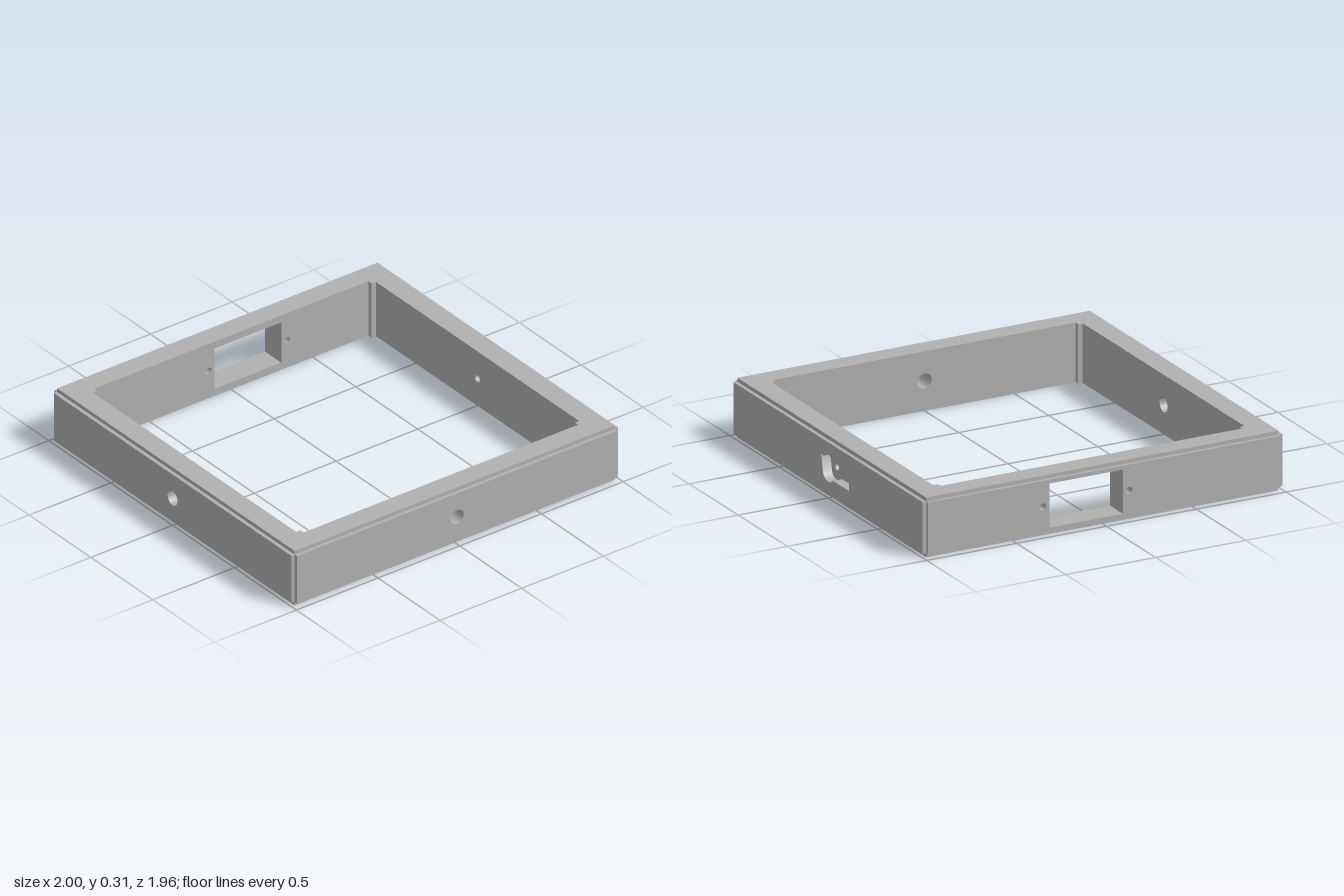
import * as THREE from 'three';
import { toCreasedNormals } from 'three/addons/utils/BufferGeometryUtils.js';

const HEIGHT = 0.31, MID = 0.155, STEP = 0.02;
const OUT_X = 1, OUT_Z = 0.98;        // outer half sizes
const IN_X = 0.865, IN_Z = 0.847;     // opening half sizes

const circle = (u, r) => new THREE.Path().absarc(u, MID, r, 0, Math.PI * 2, true);

function rectangle(path, u0, u1, y0, y1) {
  path.moveTo(u0, y0);
  path.lineTo(u1, y0);
  path.lineTo(u1, y1);
  path.lineTo(u0, y1);
  path.closePath();
  return path;
}

// Slot outline with a round bulge around u = 0
function slot() {
  const r = 0.07, h = 0.05, a = Math.asin(h / r);
  const p = new THREE.Path();
  p.moveTo(-0.072, MID - h);
  p.absarc(0, MID, r, Math.PI + a, Math.PI * 2 - a, false);
  p.lineTo(0.212, MID - h);
  p.lineTo(0.212, MID + h);
  p.absarc(0, MID, r, a, Math.PI - a, false);
  p.lineTo(-0.072, MID + h);
  p.closePath();
  return p;
}

export function createModel() {
  const model = new THREE.Group();
  const grey = new THREE.MeshStandardMaterial({ color: 0xb0b0b0 });
  grey.name = 'plain grey';

  // One upright layer of a wall, from depth d0 to d1 along the outward direction
  function layer(wall, name, half, y0, y1, d0, d1, holes) {
    const shape = rectangle(new THREE.Shape(), -half, half, y0, y1);
    shape.holes.push(...holes);
    const geo = new THREE.ExtrudeGeometry(shape, { depth: d1 - d0, bevelEnabled: false, curveSegments: 20 });
    geo.translate(0, 0, d0);
    const mesh = new THREE.Mesh(toCreasedNormals(geo, 0.6), grey);
    mesh.name = name;
    wall.add(mesh);
  }

  // A wall: full-height core plus a stepped-in face plate, both pierced alike
  function wall(name, angle, coreHalf, plateHalf, inner, outer, holes, pocket) {
    const group = new THREE.Group();
    group.name = name;
    group.rotation.y = angle;
    const face = outer - STEP;
    const floor = pocket ? outer - 0.05 : face;
    layer(group, name + 'Core', coreHalf, 0, HEIGHT, inner, floor, holes());
    if (pocket) layer(group, name + 'PocketLayer', coreHalf, 0, HEIGHT, floor, face, pocket());
    layer(group, name + 'Plate', plateHalf, STEP, HEIGHT - STEP, face, outer, (pocket || holes)());
    model.add(group);
  }

  const bigHole = () => [circle(0, 0.04)];
  const smallHole = () => [circle(0, 0.02)];
  // Window with a screw hole at either side
  const windowHoles = () => [
    rectangle(new THREE.Path(), -0.307, 0.103, 0.04, 0.27),
    circle(-0.342, 0.018), circle(0.138, 0.018),
  ];

  const endHalf = OUT_X - STEP, sideHalf = OUT_Z - STEP;
  wall('frontWall', 0, endHalf, endHalf, IN_Z, OUT_Z, bigHole);
  wall('backWall', Math.PI, endHalf, endHalf, IN_Z, OUT_Z, windowHoles);
  wall('leftWall', Math.PI / 2, IN_Z, sideHalf, IN_X, OUT_X, smallHole, () => [slot()]);
  wall('rightWall', -Math.PI / 2, IN_Z, sideHalf, IN_X, OUT_X, bigHole);

  // Small square posts in the inner corners
  const post = new THREE.BoxGeometry(0.026, HEIGHT, 0.026);
  for (const sx of [-1, 1]) {
    for (const sz of [-1, 1]) {
      const mesh = new THREE.Mesh(post, grey);
      mesh.name = 'cornerPost';
      mesh.position.set(sx * (IN_X - 0.013), HEIGHT / 2, sz * (IN_Z - 0.013));
      model.add(mesh);
    }
  }
  return model;
}
